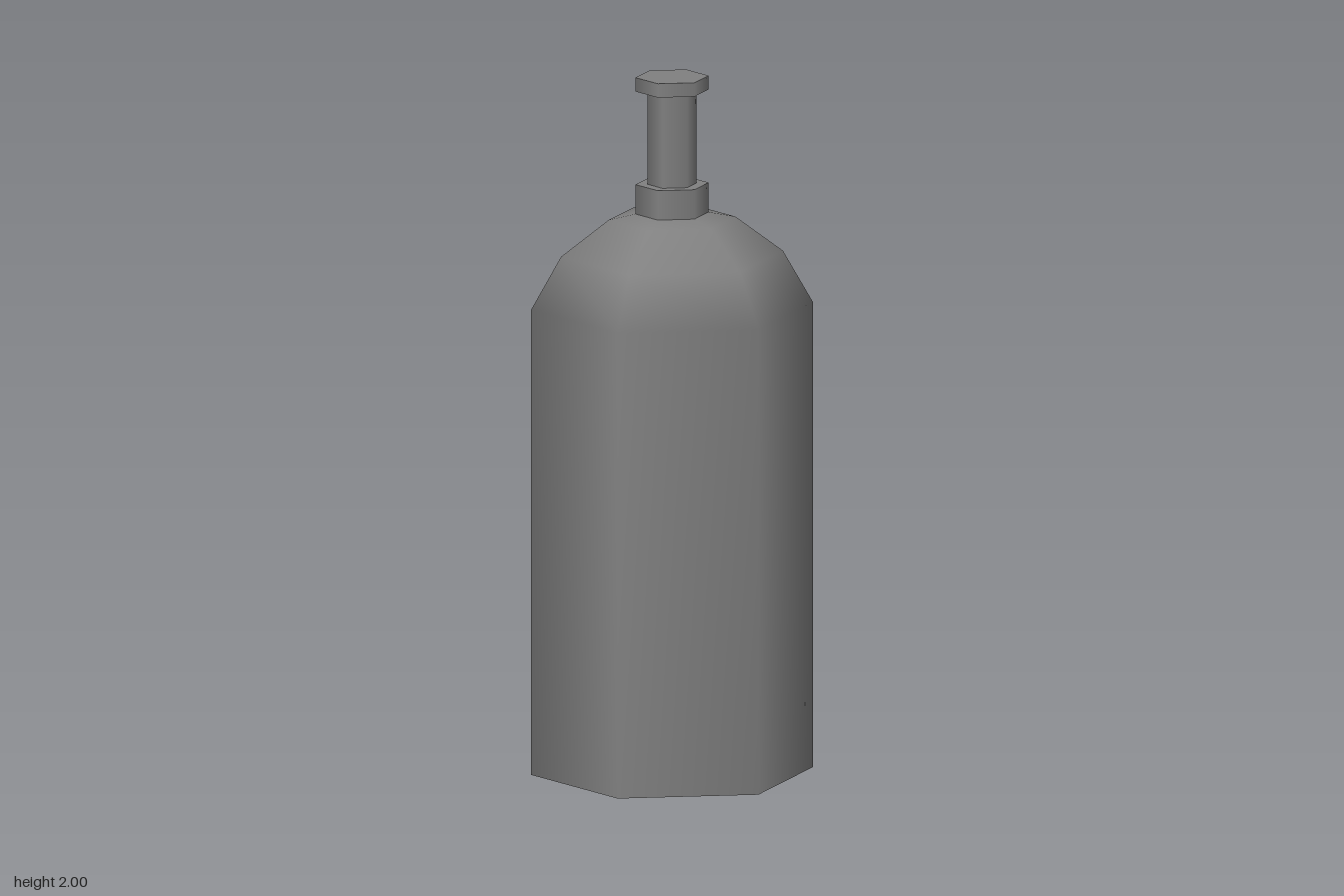
import * as THREE from 'three';

const SIDES = 6;
const TURN = Math.PI / 2; // puts a corner of each hexagon on the x axis

export function createModel() {
  const model = new THREE.Group();
  const grey = new THREE.MeshStandardMaterial({ color: 0x808080 });
  grey.name = 'grey metal';

  const add = (name, geometry, y = 0) => {
    const mesh = new THREE.Mesh(geometry, grey);
    mesh.name = name;
    mesh.position.y = y;
    model.add(mesh);
  };

  // Hexagonal prism standing between two heights
  const prism = (name, radius, bottom, top) => add(
    name,
    new THREE.CylinderGeometry(radius, radius, top - bottom, SIDES, 1, false, TURN),
    (bottom + top) / 2
  );

  // Smooth wall running into the domed shoulder
  const profile = [
    [0.4, 0], [0.4, 1.34], [0.315, 1.49], [0.18, 1.592], [0.08, 1.612], [0, 1.615],
  ].map(([r, y]) => new THREE.Vector2(r, y));
  add('body', new THREE.LatheGeometry(profile, SIDES, TURN));

  // Flat underside
  const base = new THREE.CircleGeometry(0.4, SIDES);
  base.rotateX(Math.PI / 2);
  add('base', base);

  // Neck fittings
  prism('collar', 0.104, 1.605, 1.692);
  prism('stem', 0.07, 1.692, 1.96);
  prism('cap', 0.104, 1.96, 2);

  return model;
}
